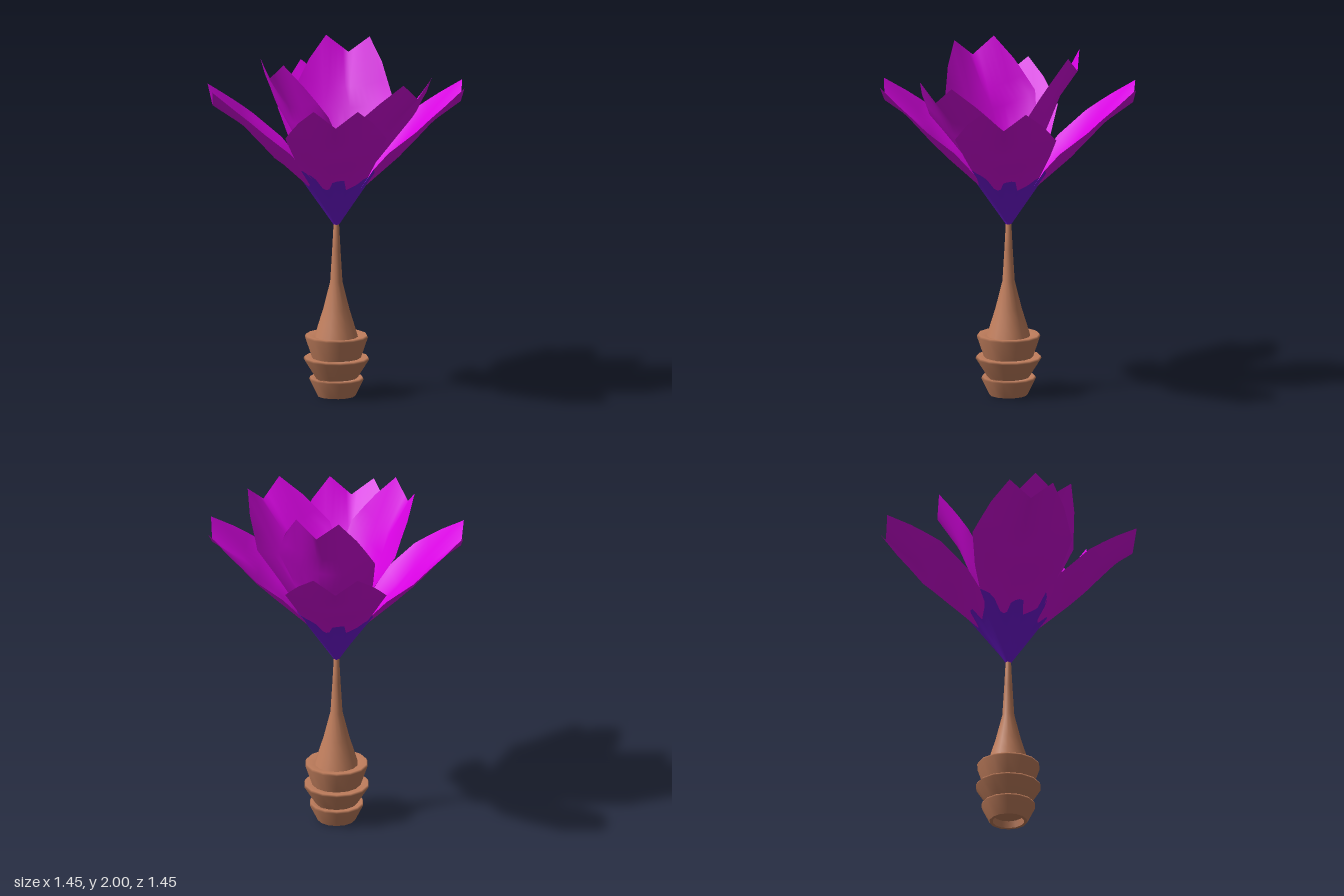
import * as THREE from 'three';

const petalMat = new THREE.MeshStandardMaterial({ name: 'magenta', color: 0xd602e0, side: THREE.DoubleSide });
const throatMat = new THREE.MeshStandardMaterial({ name: 'violet', color: 0x731adc, side: THREE.DoubleSide });
const clayMat = new THREE.MeshStandardMaterial({ name: 'terracotta', color: 0xbf7d5c, side: THREE.DoubleSide });

// Petal cross-sections: [radius, height] at the midrib and at the edge, then half width
const ROWS = [
  { mid: [0.012, -0.012], edge: [0.004, 0], w: 0.012 },
  { mid: [0.2, 0.275], edge: [0.155, 0.295], w: 0.178 },
  { mid: [0.355, 0.39], edge: [0.285, 0.455], w: 0.245 },
  { mid: [0.445, 0.49], edge: [0.44, 0.585], w: 0.287 },
  { mid: [0.53, 0.58], edge: [0.52, 0.65], w: 0.248 },
];
// Ragged border of the violet throat, as an offset along the petal per column
const RAGGED = [0.35, 0.3, 0.25, 0.1, -0.15, -0.18, -0.15, 0, 0.1, 0.15, 0.12, -0.18, -0.15, -0.12, -0.08, 0, 0.05];
const COLS = RAGGED.length;
const lerp = THREE.MathUtils.lerp;

function rowPoint(row, u) {
  const { mid, edge, w } = ROWS[row];
  const k = u * u;
  return new THREE.Vector3(u * w, lerp(mid[1], edge[1], k), lerp(mid[0], edge[0], k));
}

// Notched end of the petal: two points either side of a dip
function tipPoint(u) {
  const a = Math.abs(u), s = Math.sign(u);
  const notch = new THREE.Vector3(0, 0.7, 0.705);
  const tip = new THREE.Vector3(0.125 * s, 0.8, 0.72);
  const shoulder = new THREE.Vector3(0.21 * s, 0.71, 0.6);
  return a < 0.5 ? notch.lerp(tip, a * 2) : tip.lerp(shoulder, a * 2 - 1);
}

function petalGeometry() {
  const pos = [], index = [];
  for (let r = 0; r <= ROWS.length; r++) {
    for (let c = 0; c < COLS; c++) {
      const u = (c / (COLS - 1)) * 2 - 1;
      const p = r === ROWS.length ? tipPoint(u) : rowPoint(r, u);
      if (r === 1) p.lerp(rowPoint(RAGGED[c] > 0 ? 2 : 0, u), Math.abs(RAGGED[c]));
      pos.push(p.x, p.y, p.z);
    }
  }
  for (let r = 0; r < ROWS.length; r++) {
    for (let c = 0; c < COLS - 1; c++) {
      const a = r * COLS + c, b = a + COLS;
      index.push(a, b + 1, b, a, a + 1, b + 1);
    }
  }
  const geo = new THREE.BufferGeometry();
  geo.setAttribute('position', new THREE.Float32BufferAttribute(pos, 3));
  geo.setIndex(index);
  geo.computeVertexNormals();
  const perRow = (COLS - 1) * 6;
  geo.addGroup(0, perRow, 0);
  geo.addGroup(perRow, index.length - perRow, 1);
  return geo;
}

function lathe(name, points, parent) {
  const geo = new THREE.LatheGeometry(points.map(([x, y]) => new THREE.Vector2(x, y)), 14);
  const mesh = new THREE.Mesh(geo, clayMat);
  mesh.name = name;
  parent.add(mesh);
}

export function createModel() {
  const model = new THREE.Group();
  model.name = 'flower';

  // Stacked flared cups of the base: [bottom y, bottom radius, top y, top radius]
  const base = new THREE.Group();
  base.name = 'base';
  model.add(base);
  const cups = [[0, 0.108, 0.108, 0.155], [0.105, 0.12, 0.224, 0.187], [0.222, 0.14, 0.352, 0.18]];
  for (const [y0, r0, y1, r1] of cups) {
    lathe('cup', [[r0, y0], [r1, y1 - 0.012], [r1 - 0.006, y1], [0.11, y1 - 0.012]], base);
  }
  // Hollow underside
  lathe('footHollow', [[0, 0.04], [0.085, 0.04]], base);
  lathe('footHollowWall', [[0.085, 0.04], [0.09, 0]], base);
  lathe('footRing', [[0.09, 0], [0.108, 0]], base);

  // Tapering stem
  lathe('stem', [[0.124, 0.34], [0.1, 0.42], [0.075, 0.5], [0.035, 0.66], [0.024, 0.84], [0.016, 0.99], [0, 1]], model);

  // Petals: direction of the tip in x and z, and extra tilt in degrees
  const geo = petalGeometry();
  const petals = [
    ['outerPetal', 0.71, 0.05, 0], ['outerPetal', -0.715, -0.01, 0],
    ['outerPetal', 0.01, -0.72, 0], ['outerPetal', -0.09, 0.71, 0],
    ['innerPetal', 0.405, 0.42, 8.6], ['innerPetal', -0.385, 0.18, 18.4], ['innerPetal', 0.11, -0.365, 21.2],
  ];
  for (const [name, x, z, tilt] of petals) {
    const petal = new THREE.Mesh(geo, [throatMat, petalMat]);
    petal.name = name;
    petal.position.y = 0.996;
    petal.rotation.set(-THREE.MathUtils.degToRad(tilt), Math.atan2(x, z), 0, 'YXZ');
    model.add(petal);
  }
  return model;
}
